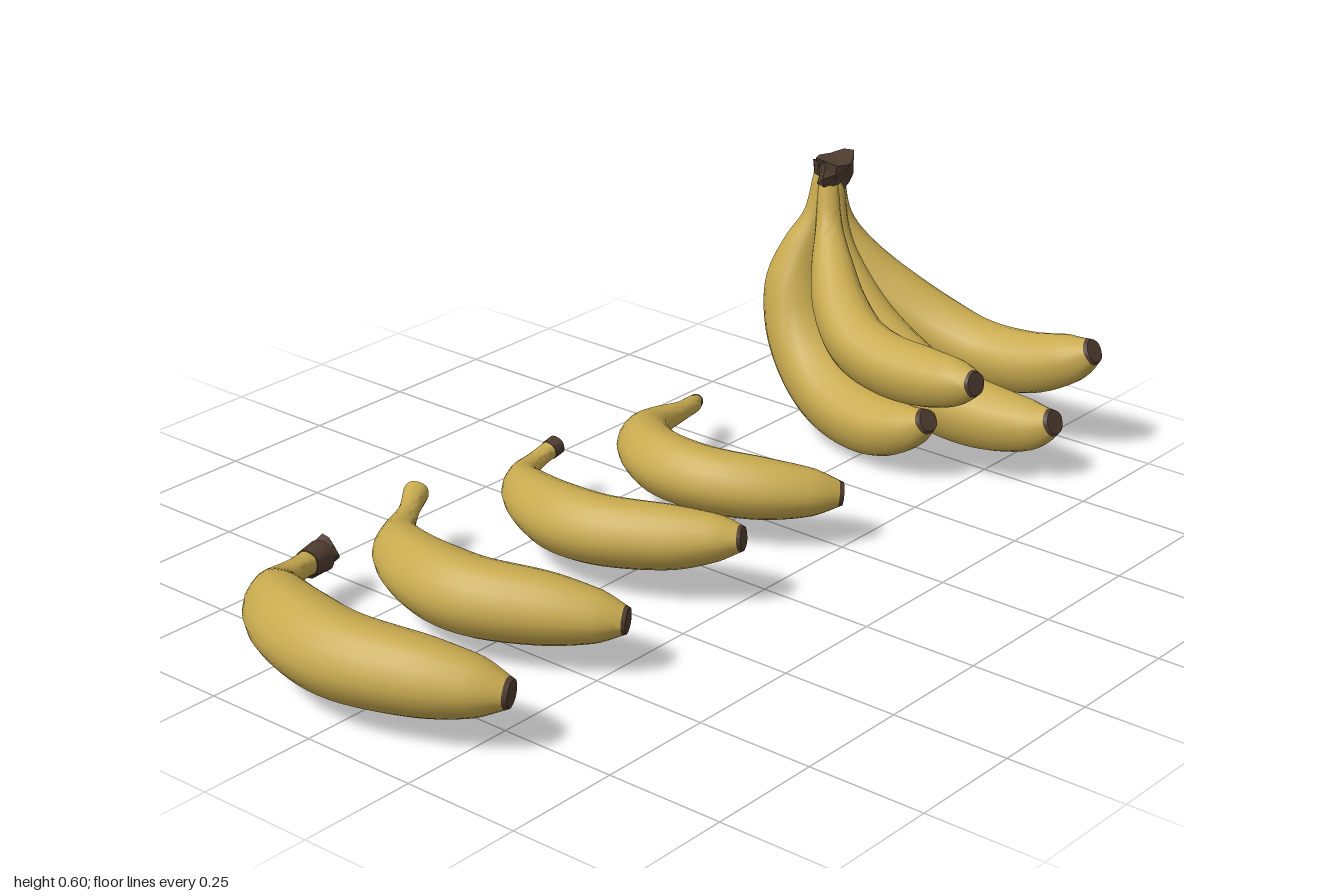
import * as THREE from 'three';
import { toCreasedNormals } from 'three/addons/utils/BufferGeometryUtils.js';

const SIDES = 20;
const ALONG_Y = new THREE.Vector3(0, 1, 0);
const ALONG_X = new THREE.Vector3(1, 0, 0);

// Sweep a softly five-ridged section along a path of [x, y, z, radius], from t0 to t1, with flat ends.
function sweep(path, ref, t0, t1, steps, grow = 1) {
  const curve = new THREE.CatmullRomCurve3(path.map(p => new THREE.Vector3(p[0], p[1], p[2])));
  const radii = new THREE.CatmullRomCurve3(path.map((p, i) => new THREE.Vector3(p[3], i * 0.1, 0)));
  const rows = [[t0, 0]];
  for (let i = 0; i <= steps; i++) rows.push([t0 + (t1 - t0) * i / steps, 1]);
  rows.push([t1, 0]);

  const pos = [], index = [];
  for (const [t, s] of rows) {
    const c = curve.getPoint(t), T = curve.getTangent(t);
    const N = new THREE.Vector3().crossVectors(ref, T).normalize();
    const B = new THREE.Vector3().crossVectors(T, N);
    for (let j = 0; j < SIDES; j++) {
      const a = j / SIDES * Math.PI * 2;
      const r = radii.getPoint(t).x * s * grow * (1 + 0.025 * Math.cos(5 * a));
      const p = c.clone().addScaledVector(N, r * Math.cos(a)).addScaledVector(B, r * Math.sin(a));
      pos.push(p.x, p.y, p.z);
    }
  }
  for (let i = 0; i < rows.length - 1; i++) {
    for (let j = 0; j < SIDES; j++) {
      const k = (j + 1) % SIDES;
      const a = i * SIDES + j, b = i * SIDES + k, c = b + SIDES, d = a + SIDES;
      if (i < rows.length - 2) index.push(a, b, c);
      if (i > 0) index.push(a, c, d);
      else index.push(b, c, d);
      if (i === 0) index.splice(-6, 6, a, c, d);
    }
  }
  const g = new THREE.BufferGeometry();
  g.setAttribute('position', new THREE.Float32BufferAttribute(pos, 3));
  g.setIndex(index);
  return toCreasedNormals(g, 0.8);
}

export function createModel() {
  const model = new THREE.Group();
  const peel = new THREE.MeshStandardMaterial({ color: 0xc8aa4f });
  peel.name = 'yellowPeel';
  const husk = new THREE.MeshStandardMaterial({ color: 0x503d30 });
  husk.name = 'brownHusk';

  const add = (parent, name, geo, mat) => {
    const mesh = new THREE.Mesh(geo, mat);
    mesh.name = name;
    parent.add(mesh);
    return mesh;
  };

  // One banana: dark blossom tip, yellow body, optional dark stem end beyond stemT
  function banana(parent, name, ref, stemT, path) {
    const g = new THREE.Group();
    g.name = name;
    add(g, 'blossomTip', sweep(path, ref, 0, 0.018, 1), husk);
    add(g, 'body', sweep(path, ref, 0.018, stemT, 44), peel);
    if (stemT < 1) add(g, 'stemEnd', sweep(path, ref, stemT, 1, 5, 1.08), husk);
    parent.add(g);
  }

  // Rough faceted lump of dried stem
  function lump(parent, name, x, y, z, w, h, d, tilt) {
    const geo = new THREE.CylinderGeometry(0.5, 0.4, 1, 9, 3).toNonIndexed();
    const p = geo.attributes.position;
    for (let i = 0; i < p.count; i++) {
      const a = Math.atan2(p.getZ(i), p.getX(i)), v = p.getY(i);
      const k = 1 + 0.12 * Math.sin(3 * a + 5 * v);
      p.setXYZ(i, p.getX(i) * k, v + 0.08 * Math.sin(2 * a + 1) * Math.hypot(p.getX(i), p.getZ(i)) * 2, p.getZ(i) * k);
    }
    geo.scale(w, h, d);
    geo.computeVertexNormals();
    const mesh = add(parent, name, geo, husk);
    mesh.position.set(x, y, z);
    mesh.rotation.set(...tilt);
  }

  // Four single bananas lying in a row
  const row = new THREE.Group();
  row.name = 'singleBananas';
  model.add(row);
  banana(row, 'largeBanana', ALONG_Y, 0.92, [
    [-0.805, 0.125, 0.32, 0.027], [-0.83, 0.128, 0.26, 0.056], [-0.87, 0.132, 0.16, 0.075],
    [-0.91, 0.136, 0.0, 0.083], [-0.89, 0.138, -0.14, 0.081], [-0.83, 0.13, -0.25, 0.064],
    [-0.755, 0.118, -0.322, 0.036], [-0.68, 0.112, -0.352, 0.024], [-0.6, 0.102, -0.375, 0.03]]);
  lump(row, 'largeBananaStem', -0.61, 0.098, -0.376, 0.06, 0.075, 0.058, [0, 0, -1.3]);
  banana(row, 'mediumBanana', ALONG_Y, 1, [
    [-0.45, 0.12, 0.285, 0.025], [-0.475, 0.122, 0.235, 0.05], [-0.52, 0.126, 0.14, 0.07],
    [-0.575, 0.13, 0.0, 0.077], [-0.57, 0.132, -0.12, 0.073], [-0.525, 0.13, -0.225, 0.058],
    [-0.45, 0.125, -0.305, 0.033], [-0.385, 0.13, -0.345, 0.021], [-0.325, 0.14, -0.382, 0.026]]);
  banana(row, 'slenderBanana', ALONG_Y, 0.96, [
    [-0.095, 0.155, 0.272, 0.024], [-0.115, 0.15, 0.225, 0.046], [-0.155, 0.14, 0.14, 0.064],
    [-0.21, 0.134, 0.0, 0.07], [-0.212, 0.132, -0.11, 0.069], [-0.17, 0.13, -0.22, 0.054],
    [-0.105, 0.126, -0.295, 0.031], [-0.045, 0.127, -0.32, 0.02], [0.03, 0.14, -0.325, 0.019]]);
  banana(row, 'hookedBanana', ALONG_Y, 0.985, [
    [0.262, 0.115, 0.24, 0.024], [0.22, 0.12, 0.195, 0.049], [0.155, 0.127, 0.11, 0.064],
    [0.107, 0.134, 0.0, 0.067], [0.112, 0.136, -0.115, 0.066], [0.175, 0.134, -0.21, 0.056],
    [0.27, 0.126, -0.262, 0.034], [0.37, 0.116, -0.277, 0.021], [0.43, 0.107, -0.295, 0.019],
    [0.475, 0.094, -0.32, 0.014]]);

  // Hanging bunch of five
  const bunch = new THREE.Group();
  bunch.name = 'bunch';
  model.add(bunch);
  banana(bunch, 'upperLeftBanana', ALONG_X, 1, [
    [0.945, 0.25, 0.385, 0.026], [0.94, 0.222, 0.335, 0.052], [0.932, 0.187, 0.23, 0.067],
    [0.925, 0.184, 0.11, 0.07], [0.91, 0.215, 0.0, 0.074], [0.88, 0.275, -0.095, 0.069],
    [0.848, 0.35, -0.162, 0.053], [0.823, 0.445, -0.203, 0.029], [0.81, 0.55, -0.215, 0.023]]);
  banana(bunch, 'middleBanana', ALONG_X, 1, [
    [0.79, 0.14, 0.395, 0.026], [0.79, 0.118, 0.34, 0.053], [0.788, 0.107, 0.23, 0.071],
    [0.788, 0.118, 0.1, 0.076], [0.79, 0.16, 0.0, 0.075], [0.79, 0.225, -0.085, 0.068],
    [0.792, 0.315, -0.15, 0.052], [0.795, 0.42, -0.19, 0.03], [0.797, 0.55, -0.205, 0.023]]);
  banana(bunch, 'upperRightBanana', ALONG_X, 1, [
    [0.605, 0.265, 0.318, 0.025], [0.61, 0.253, 0.27, 0.049], [0.618, 0.24, 0.18, 0.063],
    [0.625, 0.24, 0.08, 0.066], [0.645, 0.26, -0.015, 0.066], [0.685, 0.31, -0.095, 0.059],
    [0.728, 0.375, -0.15, 0.046], [0.765, 0.455, -0.19, 0.028], [0.787, 0.55, -0.21, 0.022]]);
  banana(bunch, 'lowerLeftBanana', ALONG_X, 1, [
    [0.872, 0.125, 0.185, 0.024], [0.875, 0.098, 0.14, 0.046], [0.88, 0.075, 0.065, 0.063],
    [0.882, 0.072, -0.01, 0.071], [0.882, 0.093, -0.1, 0.075], [0.88, 0.145, -0.18, 0.075],
    [0.874, 0.22, -0.24, 0.073], [0.862, 0.31, -0.264, 0.065], [0.842, 0.39, -0.258, 0.046],
    [0.822, 0.46, -0.238, 0.028], [0.808, 0.55, -0.23, 0.023]]);
  banana(bunch, 'lowerRightBanana', ALONG_X, 1, [
    [0.608, 0.15, 0.2, 0.024], [0.613, 0.12, 0.15, 0.047], [0.625, 0.095, 0.07, 0.065],
    [0.64, 0.092, -0.01, 0.071], [0.665, 0.11, -0.1, 0.074], [0.695, 0.155, -0.18, 0.073],
    [0.718, 0.225, -0.235, 0.07], [0.737, 0.31, -0.26, 0.062], [0.757, 0.39, -0.253, 0.044],
    [0.777, 0.46, -0.235, 0.027], [0.79, 0.55, -0.225, 0.022]]);

  // Dried crown joining the stems
  lump(bunch, 'crownTop', 0.8, 0.562, -0.203, 0.105, 0.06, 0.07, [0.12, 0, 0]);
  lump(bunch, 'crownBack', 0.8, 0.54, -0.234, 0.065, 0.08, 0.038, [0.1, 0, 0]);
  return model;
}
